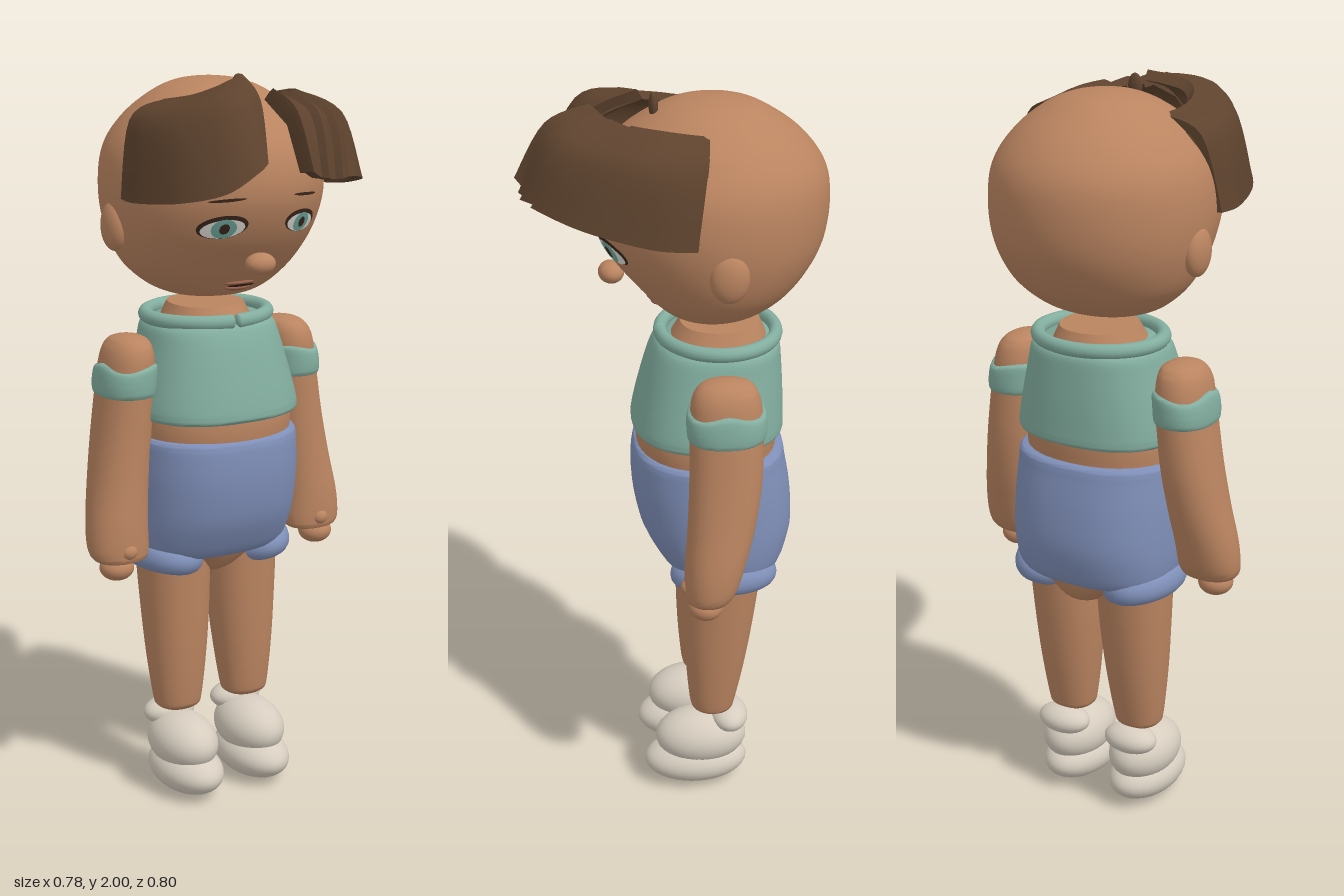
import * as THREE from 'three';
import { toCreasedNormals } from 'three/addons/utils/BufferGeometryUtils.js';

const mat = (name, color, side = THREE.FrontSide) => {
  const m = new THREE.MeshStandardMaterial({ color, side });
  m.name = name;
  return m;
};

// Catmull-Rom interpolation of a list of number arrays, n steps per interval
function smooth(list, n) {
  const out = [];
  const at = i => list[Math.min(Math.max(i, 0), list.length - 1)];
  for (let i = 0; i < list.length - 1; i++)
    for (let k = 0; k < n; k++) {
      const t = k / n;
      out.push(at(i).map((b, c) => {
        const a = at(i - 1)[c], d = at(i + 1)[c], e = at(i + 2)[c];
        return b + 0.5 * t * (d - a + t * (2 * a - 5 * b + 4 * d - e + t * (3 * (b - d) + e - a)));
      }));
    }
  out.push(at(list.length - 1));
  return out;
}

// Skin over rows of closed rings, with both ends capped
function skinRows(rings, crease = 0.8) {
  const m = rings[0].length;
  const cap = r => {
    const c = [0, 1, 2].map(k => r.reduce((s, p) => s + p[k], 0) / m);
    return r.map(() => c);
  };
  const rows = [cap(rings[0]), ...rings, cap(rings[rings.length - 1])];
  const index = [];
  for (let i = 0; i < rows.length - 1; i++)
    for (let j = 0; j < m; j++) {
      const a = i * m + j, b = i * m + (j + 1) % m;
      if (i > 0) index.push(a, a + m, b);
      else index.push(a, a + m, b + m);
      if (i > 0 && i < rows.length - 2) index.push(b, a + m, b + m);
    }
  const g = new THREE.BufferGeometry();
  g.setAttribute('position', new THREE.Float32BufferAttribute(rows.flat(2), 3));
  g.setIndex(index);
  return toCreasedNormals(g, crease);
}

// Upright body from sections [y, centreX, halfWidth, zFront, zBack]
function loft(sections, power = 2, seg = 40, n = 4) {
  const pw = v => Math.sign(v) * Math.pow(Math.abs(v), 2 / power);
  return skinRows(smooth(sections, n).map(([y, cx, hw, zf, zb]) =>
    Array.from({ length: seg }, (_, j) => {
      const a = j / seg * Math.PI * 2;
      return [cx + hw * pw(Math.cos(a)), y, (zf + zb) / 2 + (zf - zb) / 2 * pw(Math.sin(a))];
    })));
}

const HEAD = [
  [1.408, 0, 0.01, -0.07, -0.09], [1.411, 0, 0.07, -0.03, -0.15], [1.42, 0, 0.125, 0.01, -0.2],
  [1.45, 0, 0.185, 0.05, -0.26], [1.51, 0, 0.245, 0.105, -0.325], [1.6, 0, 0.282, 0.175, -0.38],
  [1.7, 0, 0.295, 0.213, -0.4], [1.8, 0, 0.28, 0.2, -0.39], [1.88, 0, 0.228, 0.145, -0.335],
  [1.94, 0, 0.155, 0.06, -0.255], [1.97, 0, 0.085, -0.01, -0.19], [1.981, 0, 0.005, -0.095, -0.105]];
const headRows = smooth(HEAD, 8);

// Depth of the face surface at (x, y)
function faceZ(x, y) {
  const i = Math.max(1, headRows.findIndex(r => r[0] > y));
  const a = headRows[i - 1], b = headRows[i], t = (y - a[0]) / (b[0] - a[0]);
  const [, , hw, zf, zb] = a.map((v, k) => v + (b[k] - v) * t);
  return (zf + zb) / 2 + (zf - zb) / 2 * Math.sqrt(Math.max(0, 1 - (x / hw) ** 2));
}

// Thin ellipse laid on the face
function facePatch(cx, cy, rx, ry, lift, tilt = 0) {
  const g = new THREE.RingGeometry(0, 1, 28, 4).scale(rx, ry, 1).rotateZ(tilt).translate(cx, cy, 0);
  const p = g.attributes.position;
  for (let i = 0; i < p.count; i++) p.setZ(i, faceZ(p.getX(i), p.getY(i)) + lift);
  g.computeVertexNormals();
  return g;
}

// Hair sweep from stations [top edge, bulge, bottom edge], optionally pleated
function hairSweep(stations, pleatAt = () => 0) {
  const core = [0, 1.7, -0.1], n = 10;
  const rings = smooth(stations, n).map((s, i) => {
    const pleat = 1 - 0.045 * pleatAt(i / n);
    const toCore = (p, f) => p.map((v, k) => core[k] + (v - core[k]) * f);
    const line = smooth([s.slice(0, 3), s.slice(3, 6), s.slice(6, 9)], 6);
    return [...line.map(p => toCore(p, pleat)), ...line.map(p => toCore(p, pleat * 0.92)).reverse()];
  });
  return skinRows(rings, 0.6);
}

export function createModel() {
  const root = new THREE.Group();
  root.name = 'childFigure';
  const skin = mat('skin', 0xba8460), teal = mat('teal fabric', 0x82ad9f), blue = mat('blue fabric', 0x7f8fb8);
  const cream = mat('cream shoe', 0xd6cdbf), brown = mat('brown hair', 0x5e432e, THREE.DoubleSide);
  const white = mat('eye white', 0xe4e0d8), iris = mat('iris', 0x6fa99d);
  const dark = mat('dark line', 0x3a261c), lip = mat('lip', 0x96604a);

  const add = (name, geo, material, parent = root) => {
    const m = new THREE.Mesh(geo, material);
    m.name = name;
    parent.add(m);
    return m;
  };
  const blob = (name, material, [x, y, z], [rx, ry, rz], parent) =>
    add(name, new THREE.SphereGeometry(1, 32, 20).scale(rx, ry, rz).translate(x, y, z), material, parent);

  // Head and face
  const head = new THREE.Group();
  head.name = 'head';
  root.add(head);
  add('skull', loft(HEAD, 2, 64, 6), skin, head);
  blob('nose', skin, [0, 1.524, 0.158], [0.042, 0.029, 0.034], head);
  blob('upperLip', lip, [0, 1.459, 0.05], [0.047, 0.008, 0.018], head);
  blob('lowerLip', lip, [0, 1.444, 0.042], [0.036, 0.008, 0.016], head);
  add('mouthLine', facePatch(0, 1.452, 0.04, 0.004, 0.012), dark, head);
  for (const s of [1, -1]) {
    const x = 0.115 * s;
    blob('ear', skin, [0.28 * s, 1.607, -0.112], [0.03, 0.065, 0.05], head);
    add('eyeOutline', facePatch(x, 1.629, 0.06, 0.031, 0.002, -0.1 * s), dark, head);
    add('eyeWhite', facePatch(x, 1.624, 0.052, 0.025, 0.004, -0.1 * s), white, head);
    add('iris', facePatch(x, 1.625, 0.03, 0.026, 0.006), iris, head);
    add('pupil', facePatch(x, 1.625, 0.012, 0.014, 0.008), dark, head);
    add('eyebrow', facePatch(x, 1.7, 0.045, 0.004, 0.003, -0.08 * s), dark, head);
  }

  // Hair: two lifted sweeps and a small tuft
  add('pleatedFringe', hairSweep([
    [0.16, 1.93, -0.075, 0.26, 1.885, -0.06, 0.307, 1.69, -0.03],
    [0.166, 1.94, -0.02, 0.268, 1.885, 0.04, 0.305, 1.7, 0.08],
    [0.164, 1.95, 0.04, 0.24, 1.9, 0.15, 0.25, 1.735, 0.247],
    [0.13, 1.957, 0.12, 0.175, 1.905, 0.26, 0.142, 1.765, 0.372],
    [0.066, 1.965, 0.183, 0.09, 1.92, 0.31, 0.07, 1.765, 0.39],
    [0, 1.975, 0.21, 0, 1.93, 0.32, 0, 1.79, 0.4]],
    u => u < 2.95 ? 0 : 1 - ((u - 2.95) * 1.5) % 1), brown, head);
  add('sweptFringe', hairSweep([
    [-0.013, 2, 0.087, -0.03, 1.945, 0.205, -0.075, 1.805, 0.315],
    [-0.06, 1.99, 0.11, -0.085, 1.955, 0.23, -0.115, 1.785, 0.334],
    [-0.115, 1.975, 0.123, -0.155, 1.94, 0.225, -0.19, 1.735, 0.305],
    [-0.153, 1.955, 0.08, -0.235, 1.905, 0.15, -0.264, 1.705, 0.2],
    [-0.17, 1.94, 0, -0.268, 1.89, 0.04, -0.305, 1.69, 0.055],
    [-0.153, 1.93, -0.075, -0.258, 1.885, -0.06, -0.302, 1.69, -0.03]]), brown, head);
  blob('tuft', brown, [0, 1.963, 0.047], [0.02, 0.034, 0.012], head);

  // Torso, top and shorts
  add('torso', loft([
    [0.62, 0, 0.03, -0.09, -0.2], [0.65, 0, 0.075, -0.03, -0.26], [0.72, 0, 0.17, 0.02, -0.285],
    [0.8, 0, 0.205, 0.06, -0.3], [1, 0, 0.212, 0.092, -0.275], [1.1, 0, 0.212, 0.096, -0.278],
    [1.25, 0, 0.175, 0.06, -0.265], [1.33, 0, 0.125, 0.01, -0.25], [1.38, 0, 0.1, -0.02, -0.23]], 2.2), skin);
  add('top', loft([
    [1.088, 0, 0.215, 0.098, -0.28], [1.097, 0, 0.228, 0.11, -0.292], [1.13, 0, 0.226, 0.106, -0.292],
    [1.2, 0, 0.21, 0.09, -0.29], [1.28, 0, 0.19, 0.068, -0.285], [1.325, 0, 0.178, 0.05, -0.28],
    [1.342, 0, 0.16, 0.035, -0.265]], 2.4), teal);
  const gap = 0.1;
  const collar = new THREE.Group();
  collar.name = 'collar';
  collar.position.set(0, 1.35, -0.12);
  root.add(collar);
  add('collarRing', new THREE.TorusGeometry(1, 0.115, 14, 72, Math.PI * 2 - gap)
    .rotateZ(Math.PI / 2 + gap / 2).rotateX(-Math.PI / 2).rotateY(Math.PI).scale(0.168, 0.17, 0.152), teal, collar);
  for (const s of [1, -1]) blob('collarEnd', teal, [0.012 * s, 0, 0.152], [0.01, 0.0195, 0.0175], collar);
  add('shorts', loft([
    [0.69, 0, 0.185, 0.0, -0.265], [0.705, 0, 0.215, 0.03, -0.29], [0.75, 0, 0.227, 0.06, -0.308],
    [0.82, 0, 0.232, 0.092, -0.321], [0.92, 0, 0.233, 0.11, -0.314], [1, 0, 0.229, 0.11, -0.3],
    [1.032, 0, 0.226, 0.104, -0.294], [1.04, 0, 0.214, 0.092, -0.28]], 2.4), blue);

  // Limbs, mirrored
  for (const s of [1, -1]) {
    const side = s > 0 ? 'left' : 'right';
    const limb = list => list.map(([y, cx, ...r]) => [y, cx * s, ...r]);
    const arm = new THREE.Group(), leg = new THREE.Group();
    arm.name = side + 'Arm';
    leg.name = side + 'Leg';
    root.add(arm, leg);

    add('armBody', loft(limb([
      [0.712, 0.302, 0.05, -0.02, -0.095], [0.72, 0.303, 0.074, -0.003, -0.118], [0.75, 0.305, 0.084, 0, -0.138],
      [0.82, 0.302, 0.083, -0.002, -0.16], [0.92, 0.288, 0.079, -0.01, -0.186], [1.05, 0.27, 0.075, -0.016, -0.205],
      [1.2, 0.253, 0.07, -0.018, -0.207], [1.27, 0.247, 0.063, -0.024, -0.198],
      [1.305, 0.242, 0.045, -0.05, -0.175], [1.316, 0.24, 0.01, -0.1, -0.12]]), 2.2, 32), skin, arm);
    // sleeve band with a wavy upper hem
    const sleeve = loft(limb([
      [1.157, 0.257, 0.07, -0.022, -0.2], [1.165, 0.257, 0.077, -0.012, -0.213],
      [1.2, 0.255, 0.079, -0.009, -0.216], [1.232, 0.251, 0.076, -0.012, -0.213],
      [1.238, 0.25, 0.064, -0.024, -0.2]]), 2.2, 40);
    const p = sleeve.attributes.position;
    for (let i = 0; i < p.count; i++) {
      const a = Math.atan2(p.getZ(i) + 0.11, (p.getX(i) * s) - 0.253);
      if (p.getY(i) > 1.2) p.setY(i, p.getY(i) + 0.008 * Math.cos(3 * a));
    }
    add('sleeve', sleeve, teal, arm);
    blob('hand', skin, [0.317 * s, 0.695, -0.055], [0.047, 0.035, 0.046], arm);
    blob('thumb', skin, [0.303 * s, 0.748, -0.012], [0.024, 0.022, 0.022], arm);

    add('legBody', loft(limb([
      [0.232, 0.108, 0.03, -0.075, -0.13], [0.242, 0.108, 0.058, -0.048, -0.155], [0.27, 0.108, 0.068, -0.038, -0.165],
      [0.4, 0.107, 0.083, -0.026, -0.192], [0.55, 0.106, 0.094, -0.02, -0.215], [0.72, 0.108, 0.1, -0.015, -0.235]]),
      2.2, 32), skin, leg);
    const cuff = add('cuff', new THREE.TorusGeometry(1, 0.38, 16, 48).rotateX(Math.PI / 2)
      .scale(0.074, 0.1, 0.105), blue, leg);
    cuff.position.set(0.139 * s, 0.69, -0.125);
    cuff.rotation.z = 0.14 * s;

    // Shoe: sole, upper and ankle roll
    blob('sole', cream, [0.108 * s, 0.066, -0.055], [0.091, 0.066, 0.145], leg);
    blob('shoeUpper', cream, [0.109 * s, 0.142, -0.07], [0.089, 0.08, 0.128], leg);
    blob('ankleRoll', cream, [0.109 * s, 0.205, -0.148], [0.077, 0.04, 0.054], leg);
  }
  return root;
}
